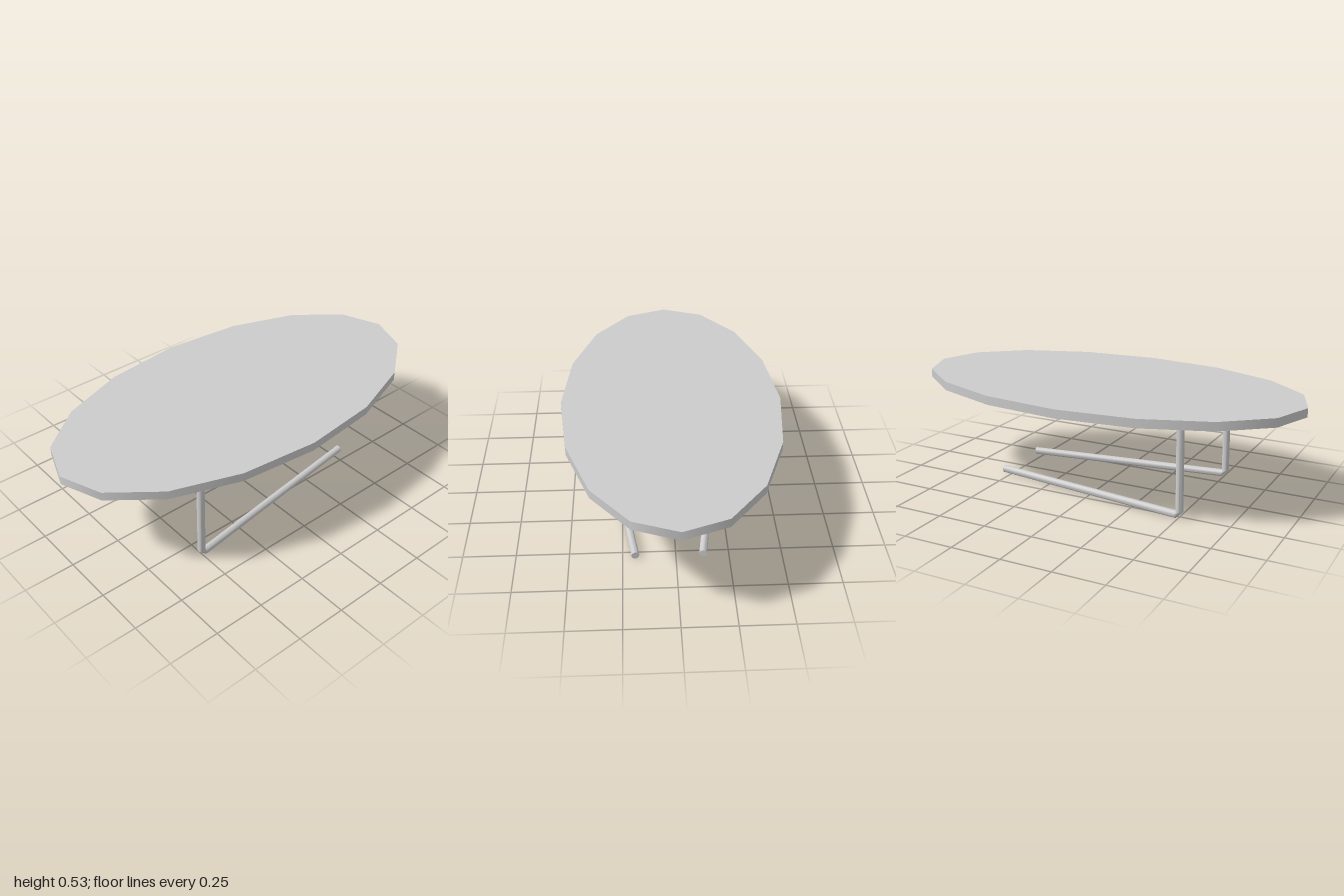
import * as THREE from 'three';
import { toCreasedNormals } from 'three/addons/utils/BufferGeometryUtils.js';

const material = new THREE.MeshStandardMaterial({ color: 0xcccccc });
const R = 0.0185, SIDES = 16;
const TOP_Y = 0.53, UNDER_Y = 0.487;

// Bent round rod: upright from the table top, chamfered elbow, floor bar.
function rodGeometry(zPost, zEnd) {
  const up = new THREE.Vector3(0, 1, 0);
  const along = new THREE.Vector3(1.05, 0, zEnd - zPost).normalize();
  const side = along.clone().cross(up);
  // [centre, direction of the inner side of the bend, radius]
  const top = new THREE.Vector3(-0.5, UNDER_Y, zPost);
  const end = new THREE.Vector3(0.545, R, zEnd);
  const elbow = new THREE.Vector3(-0.506, 2 * R, zPost);
  const barStart = elbow.clone().addScaledVector(along, R).setY(R);
  const rings = [
    [top, along, 0], [top, along, R], [elbow, along, R],
    [barStart, up, R], [end, up, R], [end, up, 0],
  ];
  const positions = [], index = [];
  rings.forEach(([centre, inner, r], k) => {
    for (let i = 0; i < SIDES; i++) {
      const t = (i / SIDES) * Math.PI * 2;
      const p = centre.clone()
        .addScaledVector(side, r * Math.cos(t))
        .addScaledVector(inner, r * Math.sin(t));
      positions.push(p.x, p.y, p.z);
      if (k === 0) continue;
      const j = (i + 1) % SIDES;
      const a = (k - 1) * SIDES, b = k * SIDES;
      index.push(a + i, b + i, a + j, a + j, b + i, b + j);
    }
  });
  const geometry = new THREE.BufferGeometry();
  geometry.setAttribute('position', new THREE.Float32BufferAttribute(positions, 3));
  geometry.setIndex(index);
  return toCreasedNormals(geometry, 0.6);
}

export function createModel() {
  const table = new THREE.Group();
  table.name = 'ovalTable';

  // Sixteen-sided oval top
  const topGeometry = new THREE.CylinderGeometry(1, 1, TOP_Y - UNDER_Y, 16);
  topGeometry.scale(1, 1, 0.534);
  const top = new THREE.Mesh(topGeometry, material);
  top.name = 'tableTop';
  top.position.y = (TOP_Y + UNDER_Y) / 2;
  table.add(top);

  // Two rod legs whose floor bars converge towards +x
  for (const [name, zPost, zEnd] of [
    ['frontLeg', 0.337, 0.19],
    ['backLeg', -0.27, -0.127],
  ]) {
    const leg = new THREE.Mesh(rodGeometry(zPost, zEnd), material);
    leg.name = name;
    table.add(leg);
  }
  return table;
}
